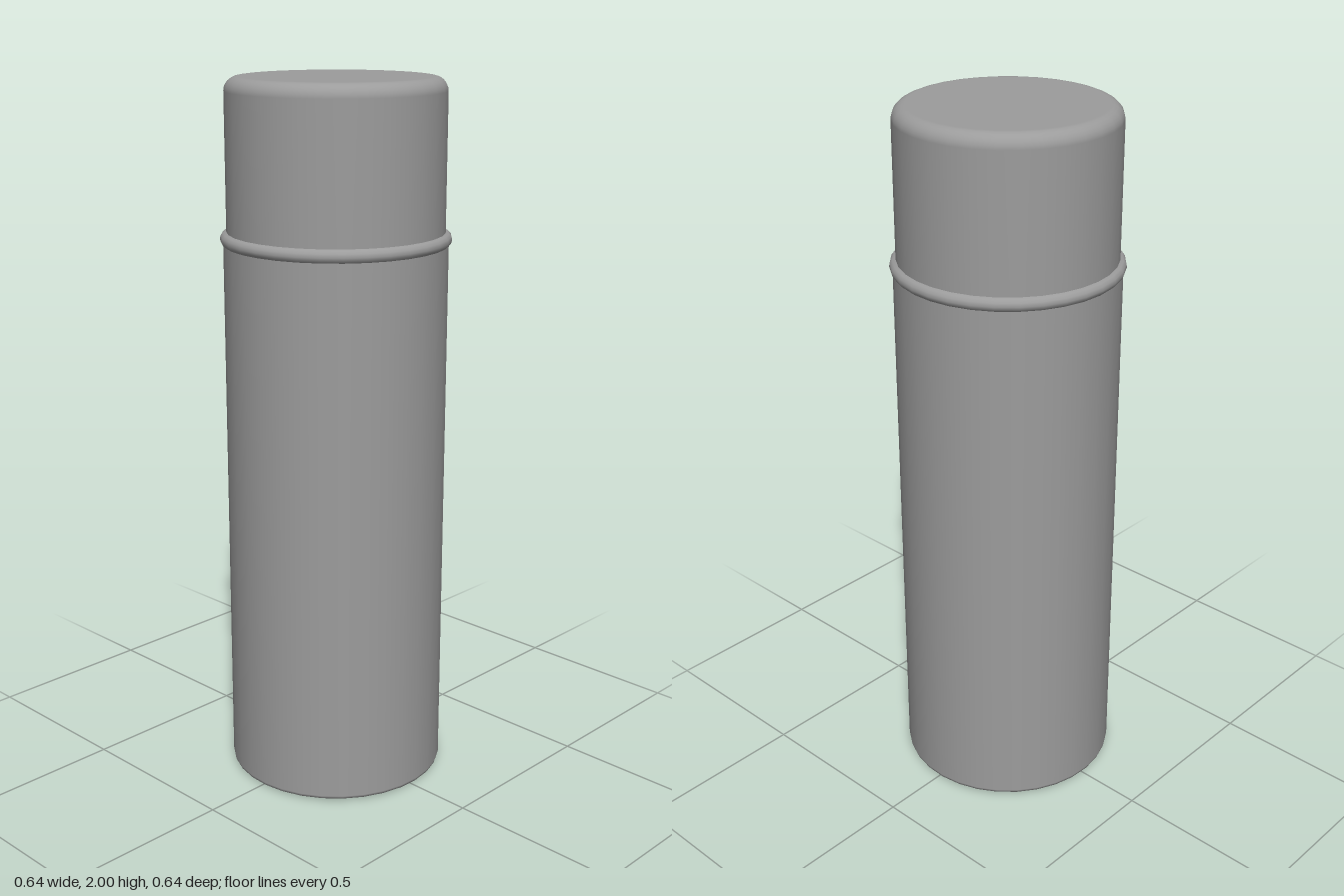
import * as THREE from 'three';

const SIDES = 32;
const material = new THREE.MeshStandardMaterial({ color: 0x9c9c9c, side: THREE.DoubleSide });

// Smooth turned part from a bottom-to-top profile of [radius, height]
function turned(name, profile) {
  const points = profile.map(([r, y]) => new THREE.Vector2(r, y));
  const mesh = new THREE.Mesh(new THREE.LatheGeometry(points, SIDES), material);
  mesh.name = name;
  return mesh;
}

// Rounded shoulder from a vertical wall into a flat top
function shoulder(radius, top, round, steps) {
  return Array.from({ length: steps + 1 }, (_, i) => {
    const a = (i / steps) * (Math.PI / 2);
    return [radius - round + round * Math.cos(a), top - round + round * Math.sin(a)];
  });
}

export function createModel() {
  const group = new THREE.Group();
  group.name = 'canister';

  // Tall body with a flat base and a softened foot
  group.add(turned('body', [
    [0, 0], [0.262, 0], [0.3, 0.002], [0.308, 0.006], [0.31, 0.014], [0.31, 1.555],
  ]));

  // Rolled lip that flares out of the body and slopes in to the cap
  group.add(turned('lip', [
    [0.31, 1.55], [0.316, 1.556], [0.319, 1.565], [0.317, 1.575], [0.31, 1.582], [0.298, 1.586],
  ]));

  // Narrower cap with a rounded top edge
  group.add(turned('cap', [[0.301, 1.57], ...shoulder(0.301, 2, 0.038, 6), [0, 2]]));

  // Facets sit slightly off the axes
  group.rotation.y = 0.05;
  return group;
}
